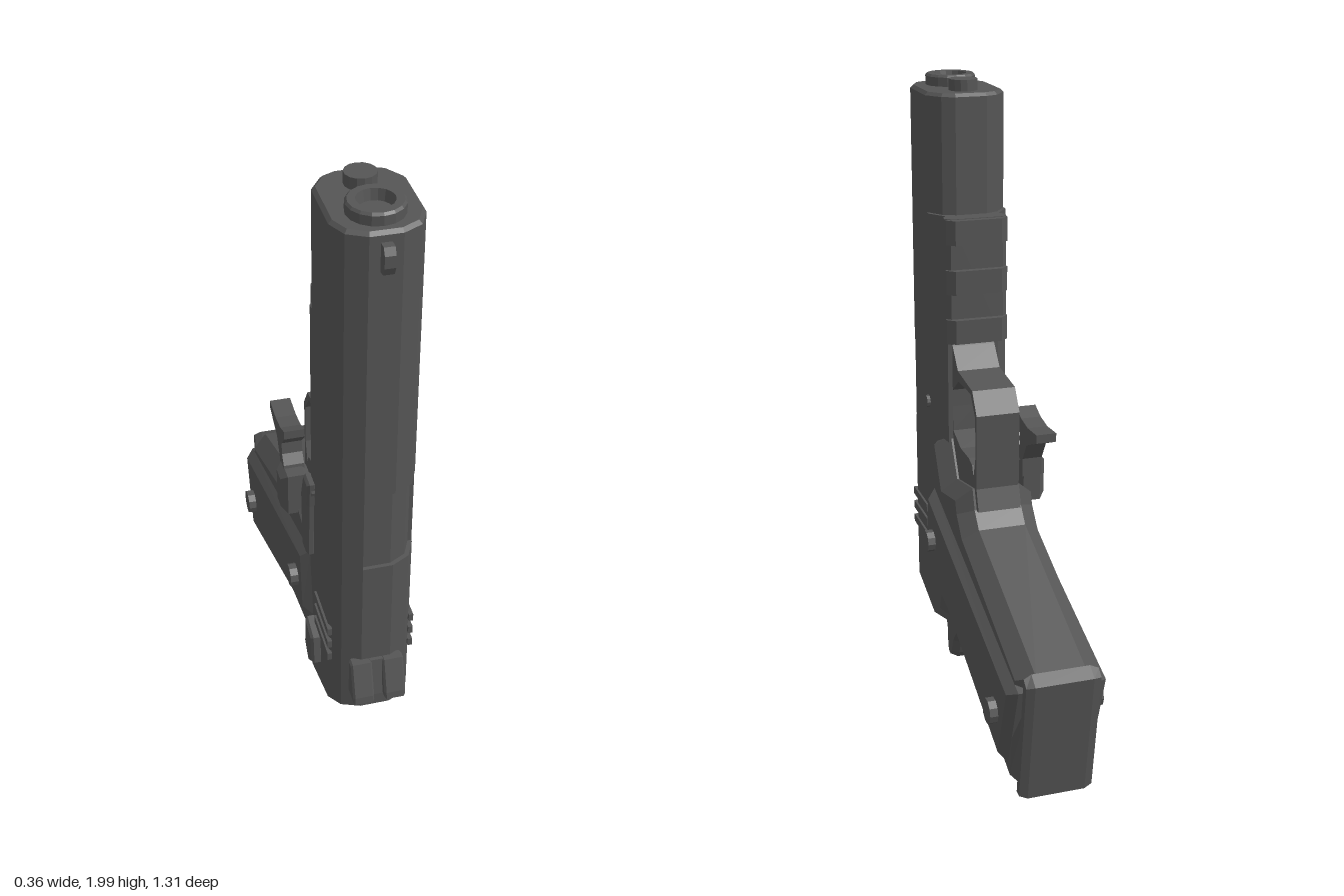
import * as THREE from 'three';

const metal = new THREE.MeshStandardMaterial({ color: 0x555555 });
metal.name = 'gunmetal grey';

export function createModel() {
  const group = new THREE.Group();

  const add = (name, geo) => {
    const g = geo.index ? geo.toNonIndexed() : geo;
    g.computeVertexNormals();
    const mesh = new THREE.Mesh(g, metal);
    mesh.name = name;
    group.add(mesh);
    return mesh;
  };

  const toShape = (pts) => new THREE.Shape(pts.map(([a, b]) => new THREE.Vector2(a, b)));

  // Side profile of [z, y] points, extruded from x0 to x1 with chamfered edges
  const side = (name, pts, x0, x1, bevel = 0, hole = null, thick = bevel) => {
    const shape = toShape(pts);
    if (hole) shape.holes.push(toShape(hole));
    const geo = new THREE.ExtrudeGeometry(shape, {
      depth: x1 - x0 - 2 * thick, bevelEnabled: bevel > 0, bevelSegments: 1,
      bevelSize: bevel, bevelOffset: -bevel, bevelThickness: thick,
    });
    geo.translate(0, 0, thick - x1);
    geo.rotateY(-Math.PI / 2);
    return add(name, geo);
  };

  // Cross-section of [x, z] points, extruded upward from y0 to y1
  const upright = (name, pts, y0, y1, bevel = 0) => {
    const geo = new THREE.ExtrudeGeometry(toShape(pts.map(([x, z]) => [x, -z])), {
      depth: y1 - y0 - 2 * bevel, bevelEnabled: bevel > 0, bevelSegments: 1,
      bevelSize: bevel, bevelOffset: -bevel, bevelThickness: bevel,
    });
    geo.rotateX(-Math.PI / 2);
    geo.translate(0, y0 + bevel, 0);
    return add(name, geo);
  };

  const box = (name, x0, x1, y0, y1, z0, z1) => {
    const geo = new THREE.BoxGeometry(x1 - x0, y1 - y0, z1 - z0);
    geo.translate((x0 + x1) / 2, (y0 + y1) / 2, (z0 + z1) / 2);
    return add(name, geo);
  };

  const mirror = (half) => [...half, ...half.slice().reverse().map(([x, z]) => [-x, z])];

  // Slide and frame rail, in stacked sections
  const half = [[0.045, 0.601], [0.1, 0.572], [0.127, 0.515], [0.127, 0.312], [0.085, 0.255]];
  const slimHalf = [[0.045, 0.601], [0.1, 0.572], [0.127, 0.515], [0.127, 0.335], [0.09, 0.28], [0.05, 0.262]];
  const portSection = [[-0.045, 0.601], [-0.045, 0.589], [0.04, 0.589], [0.09, 0.562], [0.115, 0.51], [0.127, 0.51],
    [0.127, 0.312], [0.085, 0.255], [-0.085, 0.255], [-0.127, 0.312], [-0.127, 0.515], [-0.1, 0.572]];
  upright('slideFront', mirror(slimHalf), 1.57, 1.965, 0.01);
  upright('slideMiddle', mirror(half), 1.12, 1.59);
  upright('ejectionPort', portSection, 0.85, 1.12);
  const rear = upright('slideRear', mirror(half), 0.2, 0.85);
  const pos = rear.geometry.attributes.position;
  for (let i = 0; i < pos.count; i++) {
    if (pos.getY(i) < 0.5) pos.setY(i, 0.278 - 0.3 * (0.601 - pos.getZ(i)));
  }
  rear.geometry.computeVertexNormals();

  // Barrel with a bore, and the plug beneath it
  const barrel = new THREE.LatheGeometry(
    [[0.08, 1.95], [0.08, 1.993], [0.074, 2], [0.052, 2], [0.046, 1.968], [0, 1.968]]
      .map(([r, y]) => new THREE.Vector2(r, y)), 16);
  barrel.translate(0, 0, 0.495);
  add('barrel', barrel);
  const plug = new THREE.CylinderGeometry(0.045, 0.045, 0.05, 14);
  plug.translate(0, 1.975, 0.348);
  add('springPlug', plug);

  // Sights
  side('frontSight', [[0.59, 1.85], [0.625, 1.855], [0.637, 1.88], [0.637, 1.915], [0.625, 1.935], [0.59, 1.935]], -0.015, 0.015);
  const sight = [[0.59, 0.352], [0.658, 0.352], [0.655, 0.375], [0.62, 0.483], [0.59, 0.483]];
  side('rearSightLeft', sight, 0.016, 0.082, 0.006);
  side('rearSightRight', sight, -0.082, -0.016, 0.006);
  side('rearSightBase', [[0.59, 0.352], [0.63, 0.352], [0.612, 0.483], [0.59, 0.483]], -0.02, 0.02);

  // Accessory rail with three cross bars
  upright('railBase', mirror([[0.08, 0.27], [0.1, 0.24], [0.1, 0.222], [0.085, 0.207]]), 1.185, 1.59);
  for (const y of [1.19, 1.35, 1.51]) {
    upright('railBar', mirror([[0.1, 0.235], [0.1, 0.208], [0.075, 0.186]]), y, y + 0.078);
  }

  // Trigger guard
  side('triggerGuard',
    [[0.27, 1.2], [0.25, 1.165], [0.193, 1.1], [0.034, 1.084], [-0.013, 1.015], [-0.008, 0.77], [-0.03, 0.7], [0.15, 0.68], [0.27, 0.75]],
    -0.07, 0.07, 0, 
    [[0.257, 1.015], [0.188, 1.066], [0.052, 1.069], [0.003, 1.004], [0.003, 0.87], [0.025, 0.8], [0.04, 0.835], [0.077, 0.845], [0.167, 0.845], [0.252, 0.877]]);

  // Trigger, offset to the right side, and the release block beneath it
  side('trigger',
    [[0.098, 0.994], [0.045, 0.972], [-0.02, 0.962], [-0.103, 0.968], [-0.103, 0.94], [-0.008, 0.9], [0.03, 0.84], [0.03, 0.78],
      [0.1, 0.78], [0.085, 0.85], [0.062, 0.88], [0.058, 0.92], [0.098, 0.965]],
    -0.16, -0.095);
  side('releaseBlock', [[0.04, 0.69], [0.13, 0.69], [0.13, 0.84], [0.04, 0.84]], -0.178, -0.083, 0.02);

  // Frame and grip core
  side('gripFrame',
    [[0.31, 0.86], [0.262, 0.86], [0.188, 0.73], [0.013, 0.766], [-0.01, 0.7], [-0.055, 0.65], [-0.617, 0.43],
      [-0.557, 0.013], [-0.02, 0.215], [0.193, 0.257], [0.215, 0.2], [0.373, 0.209], [0.45, 0.3], [0.4, 0.7]],
    -0.127, 0.127, 0.04, null, 0.05);
  side('magazineBase', [[-0.612, 0.44], [-0.65, 0.415], [-0.588, 0.008], [-0.55, 0.013]], -0.115, 0.115, 0.008, null, 0.025);

  // Rear tang and grip safety
  side('tang',
    [[0.4, 0.24], [0.373, 0.209], [0.31, 0.14], [0.303, 0.06], [0.285, 0.036], [0.258, 0.036], [0.24, 0.06], [0.22, 0.11], [0.165, 0.175], [0.18, 0.28]],
    -0.085, 0.085, 0.012, null, 0.025);
  side('hammer', [[0.5, 0.27], [0.42, 0.19], [0.35, 0.17], [0.3, 0.25]], -0.05, 0.05);
  side('gripSafety',
    [[0.2, 0.25], [0.17, 0.17], [0.1, 0.2], [0.05, 0.205], [-0.02, 0.182], [-0.1, 0.135], [-0.105, 0.2], [0, 0.25]], -0.05, 0.05);

  // Grip panels, screws, serrations and pin on both sides
  const panel = [[0.289, 0.665], [-0.607, 0.379], [-0.511, 0.094], [0.326, 0.43]];
  for (const s of [1, -1]) {
    const span = (a, b) => (s > 0 ? [a, b] : [-b, -a]);
    side('gripPanel', panel, ...span(0.075, 0.155), 0.025, null, 0.028);
    for (const [z, y, r, x] of [[0.215, 0.51, 0.036, 0.18], [-0.464, 0.252, 0.04, 0.18], [0.34, 0.957, 0.02, 0.138]]) {
      const disc = new THREE.CylinderGeometry(r, r, 0.08, 10);
      disc.rotateZ(Math.PI / 2);
      disc.translate(s * (x - 0.04), y, z);
      add(x > 0.15 ? 'gripScrew' : 'slidePin', disc);
    }
    for (const y of [0.455, 0.507, 0.559]) {
      box('serration', ...span(0.12, 0.134), y - 0.013, y + 0.013, 0.37, 0.54);
    }
  }

  // Slide stop and thumb safety on the right side
  side('slideStop', [[0.36, 0.99], [0.3, 0.99], [0.27, 0.9], [0.28, 0.7], [0.34, 0.7], [0.35, 0.9]], -0.15, -0.12, 0.008);
  side('thumbSafety', [[0.42, 0.42], [0.34, 0.44], [0.33, 0.33], [0.38, 0.28], [0.43, 0.32]], -0.157, -0.12, 0.008);

  return group;
}
